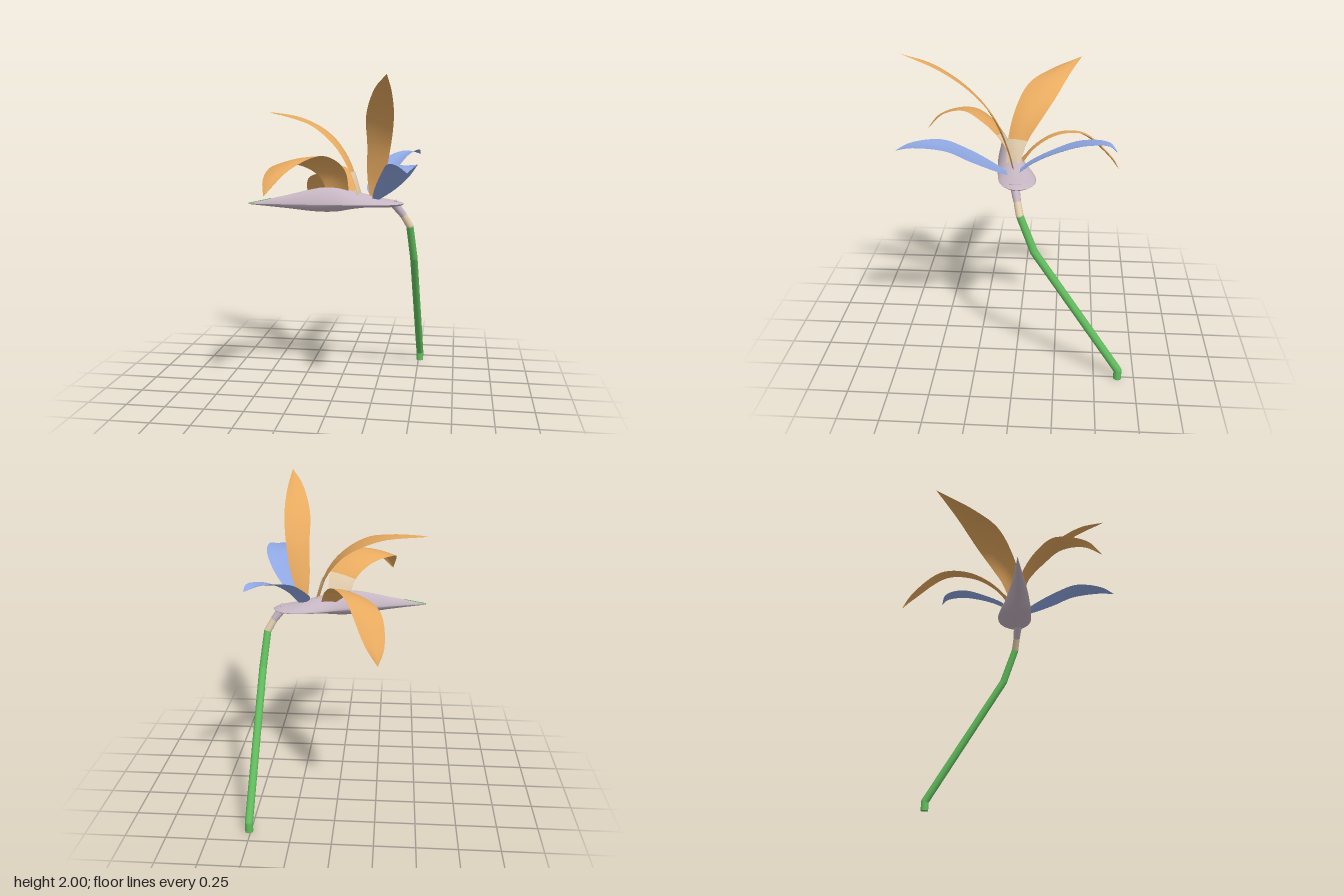
import * as THREE from 'three';

const mat = (name, color) => {
  const m = new THREE.MeshStandardMaterial({ color, side: THREE.DoubleSide });
  m.name = name;
  return m;
};
const V = (p) => new THREE.Vector3(...p);
const curve = (points) => new THREE.CatmullRomCurve3(points.map(V));

// Indexed grid of (rows + 1) x (cols + 1) points from a rule
function grid(rows, cols, pointAt) {
  const pos = [], idx = [];
  for (let i = 0; i <= rows; i++)
    for (let j = 0; j <= cols; j++) pos.push(...pointAt(i, j));
  for (let i = 0; i < rows; i++)
    for (let j = 0; j < cols; j++) {
      const a = i * (cols + 1) + j, b = a + cols + 1;
      idx.push(a, b, b + 1, a, b + 1, a + 1);
    }
  const g = new THREE.BufferGeometry();
  g.setAttribute('position', new THREE.Float32BufferAttribute(pos, 3));
  g.setIndex(idx);
  g.computeVertexNormals();
  return g;
}

export function createModel() {
  const root = new THREE.Group();
  root.name = 'flower';
  const orange = mat('petal orange', 0xe6a95f);
  const blue = mat('petal blue', 0x8fa7e2);
  const cream = mat('base cream', 0xe4ceae);
  const mauve = mat('bract mauve', 0xc6b6c3);
  const green = mat('stem green', 0x62be5e);

  const add = (name, geo, material) => {
    const m = new THREE.Mesh(geo, material);
    m.name = name;
    root.add(m);
  };

  // Petal: surface stretched between two edge curves and slightly cupped,
  // with an optional cream layer on the upper face of its base
  function petal(name, left, right, material, cup, creamRows = 0) {
    const rows = 30, cols = 8;
    const L = curve(left), R = curve(right);
    const surface = (offset) => (i, j) => {
      const u = i / rows, v = j / cols;
      const a = L.getPoint(u), b = R.getPoint(u);
      const n = L.getTangent(u).add(R.getTangent(u)).cross(b.clone().sub(a)).normalize();
      if (n.y < 0) n.negate();
      const depth = cup * Math.sin(Math.PI * v) * Math.sqrt(Math.abs(Math.sin(Math.PI * u)));
      return a.lerp(b, v).addScaledVector(n, depth + offset).toArray();
    };
    add(name, grid(rows, cols, surface(0)), material);
    if (creamRows) add(name + 'Base', grid(creamRows, cols, surface(0.004)), cream);
  }

  petal('sweptBackPetal',
    [[.14, 1.27, .07], [.088, 1.42, .06], [-.005, 1.57, .025], [-.16, 1.695, -.05], [-.32, 1.745, -.18], [-.52, 1.78, -.38]],
    [[.155, 1.27, -.01], [.098, 1.41, -.06], [.04, 1.515, -.13], [-.05, 1.62, -.21], [-.25, 1.73, -.3], [-.52, 1.78, -.38]],
    orange, 0.02, 6);
  petal('tallPetal',
    [[.21, 1.25, .02], [.197, 1.4, .062], [.205, 1.6, .148], [.212, 1.77, .28], [.276, 1.92, .46], [.362, 2, .63]],
    [[.23, 1.25, .01], [.3, 1.4, .034], [.345, 1.6, .1], [.37, 1.77, .225], [.372, 1.9, .4], [.362, 2, .63]],
    orange, 0.008);
  petal('frontPetal',
    [[-.05, 1.27, .05], [-.09, 1.39, .1], [-.19, 1.47, .2], [-.32, 1.485, .34], [-.346, 1.42, .54], [-.325, 1.33, .625]],
    [[.08, 1.27, .03], [.07, 1.43, .13], [.02, 1.51, .24], [-.055, 1.54, .34], [-.2, 1.47, .5], [-.325, 1.33, .625]],
    orange, 0.012, 6);
  petal('backPetal',
    [[.04, 1.26, 0], [-.06, 1.35, -.12], [-.16, 1.38, -.25], [-.265, 1.33, -.4], [-.288, 1.18, -.57], [-.255, 1.1, -.64]],
    [[.12, 1.26, -.02], [.09, 1.36, -.1], [.03, 1.425, -.23], [-.06, 1.405, -.4], [-.18, 1.2, -.59], [-.255, 1.1, -.64]],
    orange, 0.012);
  petal('backBluePetal',
    [[.23, 1.25, .01], [.18, 1.31, -.07], [.21, 1.4, -.21], [.27, 1.485, -.375], [.4, 1.525, -.535], [.495, 1.5, -.58]],
    [[.25, 1.25, 0], [.31, 1.365, -.125], [.38, 1.455, -.27], [.43, 1.51, -.41], [.488, 1.53, -.54], [.495, 1.5, -.58]],
    blue, -0.012);
  petal('frontBluePetal',
    [[.22, 1.24, .03], [.25, 1.33, .14], [.3, 1.43, .28], [.35, 1.502, .42], [.425, 1.505, .59], [.48, 1.475, .67]],
    [[.25, 1.24, .03], [.37, 1.325, .13], [.46, 1.412, .25], [.515, 1.49, .375], [.52, 1.508, .56], [.48, 1.475, .67]],
    blue, -0.006);

  // Beak-shaped bract: [x, back z, front z] and [bottom y, top y, ridge z] along its length
  const plan = curve([
    [-.54, .135, .14], [-.3, .07, .14], [-.1, .005, .138], [0, -.03, .132], [.1, -.075, .126],
    [.2, -.11, .115], [.3, -.118, .1], [.36, -.1, .075], [.4, -.065, .04], [.42, -.015, -.005],
  ]);
  const profile = curve([
    [1.222, 1.228, .137], [1.197, 1.28, .105], [1.174, 1.325, .07], [1.174, 1.328, .05], [1.19, 1.305, .03],
    [1.2, 1.28, .01], [1.2, 1.255, 0], [1.204, 1.245, -.005], [1.211, 1.234, -.01], [1.221, 1.225, -.01],
  ]);
  const rows = 36, sides = 24;
  const power = (v, p) => Math.sign(v) * Math.abs(v) ** p;
  add('bract', grid(rows, sides, (i, j) => {
    const [x, z0, z1] = plan.getPoint(i / rows).toArray();
    const [y0, y1, ridge] = profile.getPoint(i / rows).toArray();
    const t = (j / sides) * Math.PI * 2, mid = 1.225;
    const c = power(Math.cos(t), 1.2), s = power(Math.sin(t), 1.5);
    return [
      x,
      mid + s * (s > 0 ? y1 - mid : mid - y0),
      ridge + c * (c > 0 ? z1 - ridge : ridge - z0),
    ];
  }), mauve);

  // Small details on the bract: green tip edge, green fleck, raised scar
  add('bractTipEdge', new THREE.TubeGeometry(
    new THREE.LineCurve3(V([-.54, 1.228, .137]), V([-.4, 1.258, .12])), 1, 0.003, 6), green);
  const fleck = (name, radii, tilt, at, material) =>
    add(name, new THREE.SphereGeometry(1, 14, 8).scale(...radii).rotateX(tilt).translate(...at), material);
  fleck('bractFleck', [.025, .004, .014], 0.5, [-.035, 1.322, .058], green);
  fleck('bractScar', [.01, .008, .033], 0, [.37, 1.241, 0], mauve);

  // Bent stem: straight round pieces with rounded joints
  function rod(name, a, b, ra, rb, material) {
    const A = V(a), B = V(b), d = B.clone().sub(A);
    const g = new THREE.CylinderGeometry(rb, ra, d.length(), 16);
    g.applyQuaternion(new THREE.Quaternion().setFromUnitVectors(new THREE.Vector3(0, 1, 0), d.normalize()));
    g.translate(...A.add(B).multiplyScalar(0.5).toArray());
    add(name, g, material);
  }
  const path = [[.51, 0, -.648], [.51, .06, -.648], [.482, .86, -.12], [.458, 1.08, -.035], [.418, 1.15, -.018], [.365, 1.22, 0]];
  const radii = [.025, .025, .024, .023, .022, .028];
  const parts = [['stemFoot', green], ['lowerStem', green], ['upperStem', green], ['neck', cream], ['bractNeck', mauve]];
  parts.forEach(([name, material], i) => {
    rod(name, path[i], path[i + 1], radii[i], radii[i + 1], material);
    if (i > 0) add(name + 'Joint', new THREE.SphereGeometry(radii[i], 16, 10).translate(...path[i]), material);
  });

  return root;
}
